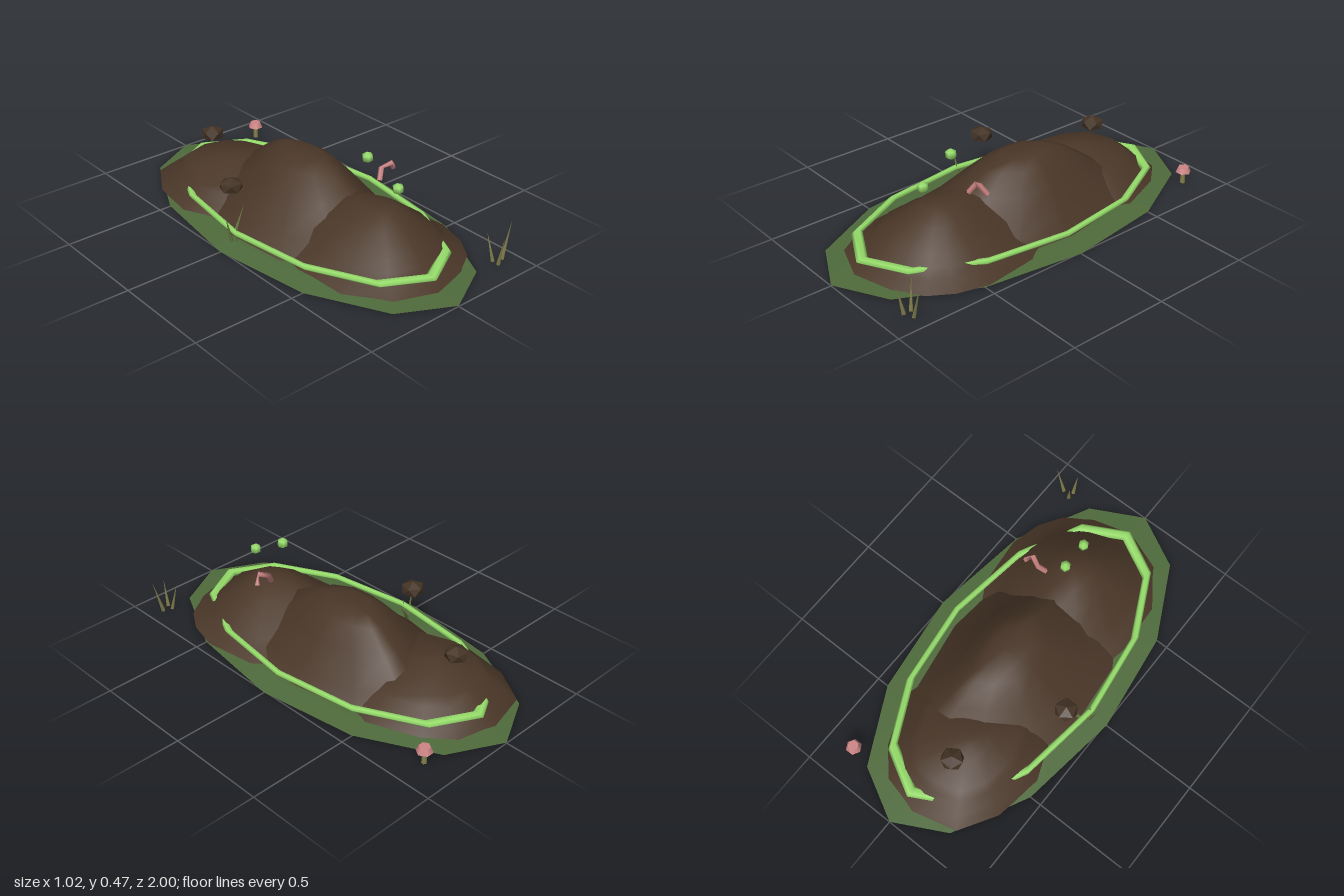
import * as THREE from 'three';

const mat = (name, color) => {
  const m = new THREE.MeshStandardMaterial({ color });
  m.name = name;
  return m;
};

export function createModel() {
  const root = new THREE.Group();
  const moss = mat('moss', 0x4f6b3c);
  const soil = mat('soil', 0x4a3728);
  const glow = mat('bright green', 0x97de6b);
  const stone = mat('dark stone', 0x443325);
  const pink = mat('pink', 0xcf8585);
  const straw = mat('olive straw', 0x85824e);
  const grass = mat('grass green', 0x6a7a43);

  const add = (name, geo, material, x = 0, y = 0, z = 0) => {
    const mesh = new THREE.Mesh(geo, material);
    mesh.name = name;
    mesh.position.set(x, y, z);
    root.add(mesh);
    return mesh;
  };

  // Thin oval ground patch
  const base = add('groundPatch', new THREE.CylinderGeometry(0.8, 1, 0.01, 12), moss, 0, 0.005, 0);
  base.scale.x = 0.51;

  // Mound: footprint shrunk towards a crest along a [scale, height] profile
  const mound = (name, [cx, cz], foot, profile) => {
    const pos = [], index = [], n = foot.length;
    for (const [s, y] of profile)
      for (const [x, z] of foot) pos.push(cx + (x - cx) * s, y, cz + (z - cz) * s);
    for (let i = 0; i < profile.length - 1; i++)
      for (let j = 0; j < n; j++) {
        const a = i * n + j, b = i * n + (j + 1) % n;
        index.push(a, b, b + n, a, b + n, a + n);
      }
    const top = pos.length / 3, last = (profile.length - 1) * n;
    pos.push(cx, profile[profile.length - 1][1], cz);
    for (let j = 0; j < n; j++) index.push(last + j, last + (j + 1) % n, top);
    const geo = new THREE.BufferGeometry();
    geo.setAttribute('position', new THREE.Float32BufferAttribute(pos, 3));
    geo.setIndex(index);
    geo.computeVertexNormals();
    add(name, geo, soil);
  };

  mound('centreMound', [0.04, -0.08], [
    [-0.4, -0.06], [-0.37, 0.25], [-0.22, 0.5], [0.03, 0.66], [0.2, 0.5], [0.36, 0.25],
    [0.39, -0.06], [0.33, -0.42], [0.2, -0.66], [0.08, -0.7], [-0.14, -0.58], [-0.35, -0.33],
  ], [[1, 0.001], [0.8, 0.075], [0.53, 0.2], [0.34, 0.282], [0.2, 0.313]]);

  mound('frontMound', [0.05, 0.45], [
    [-0.36, 0.35], [-0.33, 0.62], [-0.2, 0.81], [0, 0.89], [0.2, 0.83], [0.33, 0.74],
    [0.4, 0.63], [0.44, 0.48], [0.42, 0.2], [0.2, -0.2], [-0.1, -0.25], [-0.3, 0.05],
  ], [[1, 0.001], [0.86, 0.035], [0.72, 0.072], [0.62, 0.118], [0.36, 0.188], [0.19, 0.233]]);

  mound('backMound', [-0.07, -0.5], [
    [-0.42, -0.42], [-0.33, -0.15], [0, -0.08], [0.28, -0.2], [0.35, -0.48], [0.25, -0.73],
    [0.14, -0.85], [-0.05, -0.9], [-0.27, -0.84], [-0.38, -0.66],
  ], [[1, 0.001], [0.86, 0.045], [0.7, 0.09], [0.6, 0.122], [0.26, 0.162], [0.1, 0.175]]);

  // Bright oval band around the mounds
  const ring = add('greenRing', new THREE.TorusGeometry(1, 0.036, 6, 12), glow, 0, 0.06, 0);
  ring.rotation.x = Math.PI / 2;
  ring.scale.set(0.415, 0.835, 0.36);

  // Floating orbs
  for (const [x, y, z] of [[0.045, 0.443, 0.37], [0.068, 0.349, 0.545]])
    add('orb', new THREE.SphereGeometry(0.028, 6, 3).rotateZ(0.1), glow, x, y, z);

  // Hovering flattened rocks
  for (const [x, z, turn] of [[-0.348, -0.12, 0.3], [-0.085, -0.625, 0.9]]) {
    const geo = new THREE.IcosahedronGeometry(0.06, 0);
    geo.rotateZ(-0.5536).rotateY(turn).scale(1, 0.67, 1);
    add('rock', geo, stone, x, 0.235, z);
  }

  // Bent worm with three straight stretches
  const path = new THREE.CurvePath();
  const bends = [[0.143, 0.285, 0.35], [0.178, 0.342, 0.325], [0.226, 0.352, 0.354], [0.247, 0.31, 0.328]]
    .map(p => new THREE.Vector3(...p));
  for (let i = 0; i < 3; i++) path.add(new THREE.LineCurve3(bends[i], bends[i + 1]));
  add('worm', new THREE.TubeGeometry(path, 3, 0.0135, 5), pink);
  const wormEnd = (p, from) => {
    const cap = add('wormEnd', new THREE.CircleGeometry(0.0135, 5), pink, ...p.toArray());
    cap.quaternion.setFromUnitVectors(new THREE.Vector3(0, 0, 1), p.clone().sub(from).normalize());
  };
  wormEnd(bends[0], bends[1]);
  wormEnd(bends[3], bends[2]);

  // Mushroom
  add('mushroomStem', new THREE.CylinderGeometry(0.011, 0.013, 0.065, 6), straw, 0.35, 0.033, -0.84);
  add('mushroomCap', new THREE.CylinderGeometry(0.027, 0.039, 0.027, 6).rotateY(Math.PI / 6), pink, 0.35, 0.075, -0.84);

  // Grass tufts made of leaning blades
  const blade = (material, from, to) => {
    const dir = new THREE.Vector3(...to).sub(new THREE.Vector3(...from));
    const len = dir.length();
    const geo = new THREE.ConeGeometry(0.011, len, 4).translate(0, len / 2, 0);
    const mesh = add('grassBlade', geo, material, ...from);
    mesh.quaternion.setFromUnitVectors(new THREE.Vector3(0, 1, 0), dir.normalize());
  };
  blade(straw, [0.42, 0, 0.866], [0.47, 0.178, 0.864]);
  blade(straw, [0.377, 0, 0.85], [0.355, 0.148, 0.825]);
  blade(straw, [0.375, 0, 0.885], [0.372, 0.14, 0.912]);
  blade(grass, [-0.42, 0, -0.03], [-0.457, 0.15, -0.02]);
  blade(grass, [-0.405, 0.01, -0.02], [-0.41, 0.1, 0]);
  blade(grass, [-0.39, 0.02, -0.05], [-0.3, 0.133, -0.09]);

  return root;
}
